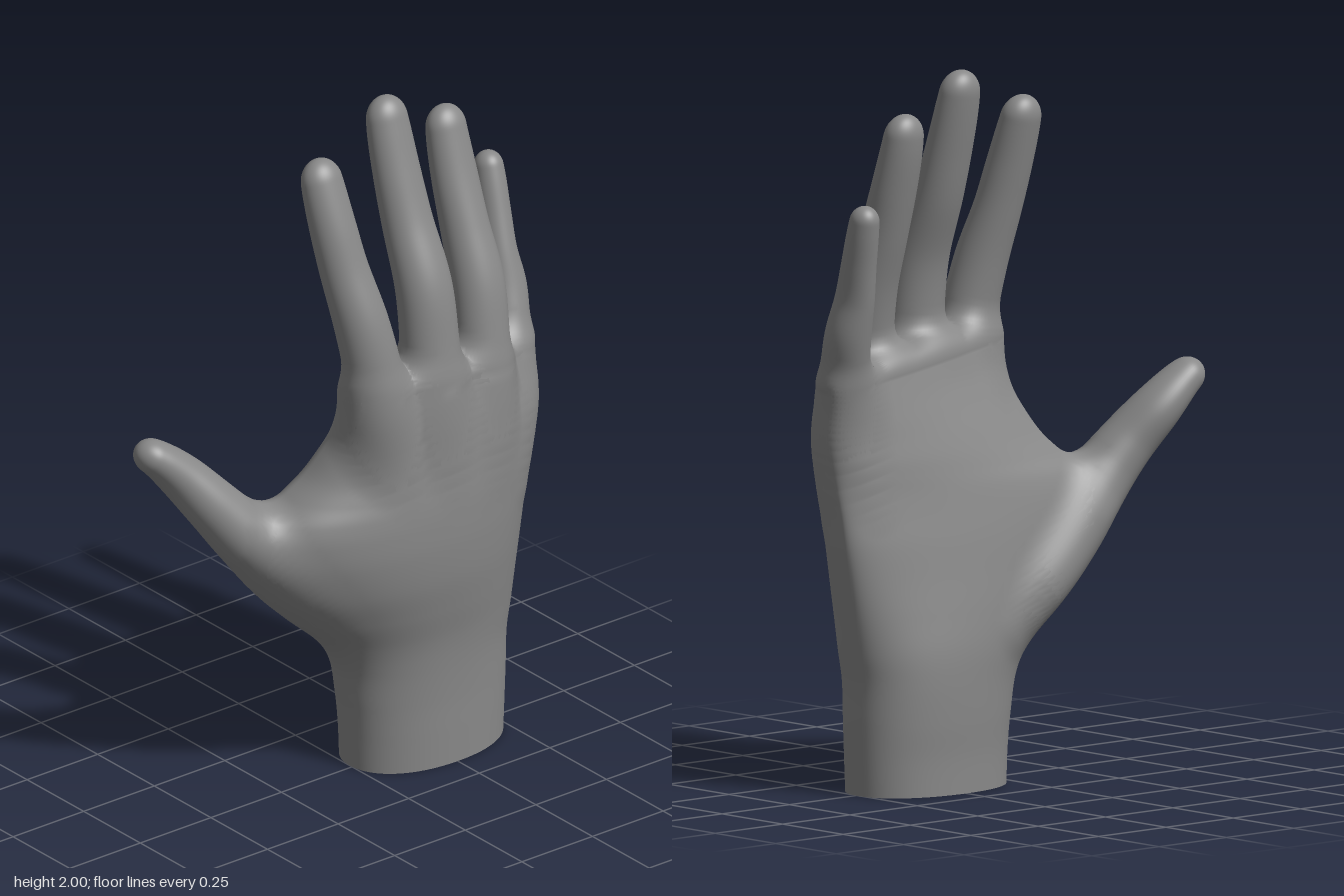
import * as THREE from 'three';

const BLEND = 0.075; // width of the soft join between palm and digits

// Smooth interpolation through rows of numbers, t from 0 to 1
function sampleRows(rows, t) {
  const n = rows.length - 1;
  const i = Math.min(Math.floor(t * n), n - 1);
  const f = t * n - i;
  const at = (k) => rows[Math.max(0, Math.min(n, k))];
  const [a, b, c, d] = [at(i - 1), at(i), at(i + 1), at(i + 2)];
  return b.map((_, k) => b[k] + 0.5 * f * (c[k] - a[k]
    + f * (2 * a[k] - 5 * b[k] + 4 * c[k] - d[k] + f * (3 * (b[k] - c[k]) + d[k] - a[k]))));
}

// Skin a stack of closed rings; point(i, angle) gives each vertex
function loft(steps, sides, point) {
  const positions = [];
  const index = [];
  for (let i = 0; i <= steps; i++) {
    for (let j = 0; j < sides; j++) {
      positions.push(...point(i, (j / sides) * Math.PI * 2));
      if (i === steps) continue;
      const a = i * sides + j;
      const b = i * sides + ((j + 1) % sides);
      index.push(a, a + sides, b, b, a + sides, b + sides);
    }
  }
  const geometry = new THREE.BufferGeometry();
  geometry.setAttribute('position', new THREE.Float32BufferAttribute(positions, 3));
  geometry.setIndex(index);
  geometry.computeVertexNormals();
  return geometry;
}

// Wrist, palm and thumb web: [y, left x, right x, left z, right z, front z, back z]
const PALM = [
  [0.00, 0.00, 0.505, -0.01, -0.01, 0.155, -0.175],
  [0.10, -0.005, 0.51, -0.01, -0.01, 0.155, -0.175],
  [0.20, -0.015, 0.515, -0.01, -0.01, 0.155, -0.18],
  [0.31, -0.035, 0.52, -0.015, -0.015, 0.16, -0.182],
  [0.40, -0.085, 0.535, -0.03, -0.02, 0.17, -0.18],
  [0.50, -0.175, 0.55, -0.05, -0.03, 0.19, -0.17],
  [0.60, -0.26, 0.565, -0.06, -0.035, 0.208, -0.157],
  [0.70, -0.315, 0.58, -0.062, -0.035, 0.217, -0.143],
  [0.78, -0.325, 0.588, -0.058, -0.03, 0.218, -0.129],
  [0.84, -0.295, 0.594, -0.045, -0.023, 0.216, -0.117],
  [0.89, -0.23, 0.597, -0.022, -0.017, 0.212, -0.105],
  [0.94, -0.175, 0.60, 0.00, -0.012, 0.207, -0.093],
  [1.00, -0.135, 0.602, 0.025, -0.007, 0.20, -0.077],
  [1.06, -0.108, 0.60, 0.05, -0.007, 0.19, -0.06],
  [1.12, -0.095, 0.596, 0.07, -0.01, 0.176, -0.042],
  [1.18, -0.09, 0.592, 0.08, -0.012, 0.16, -0.025],
];
const PALM_STEPS = 140;
const DOME_STEPS = 24;
const DOME_HEIGHT = 0.065;
const palmRings = Array.from({ length: PALM_STEPS + 1 }, (_, i) => sampleRows(PALM, i / PALM_STEPS));
const SQUARENESS = 0.92;
const POWER = 2 / SQUARENESS;

// the knuckle line slopes down towards the little finger
const knuckleDrop = (x, y) => 0.12 * THREE.MathUtils.smoothstep(y, 0.8, 1.25) * (x - 0.2);

// Stacked rings, closed by a rounded dome between the fingers
function palmGeometry() {
  return loft(PALM_STEPS + DOME_STEPS, 96, (i, angle) => {
    const [y, xl, xr, zl, zr, zf, zb] = palmRings[Math.min(i, PALM_STEPS)];
    const over = Math.sin((Math.max(0, i - PALM_STEPS) / DOME_STEPS) * Math.PI / 2);
    const shrink = Math.max(0, 1 - over ** POWER) ** (1 / POWER);
    const c = Math.cos(angle);
    const s = Math.sin(angle);
    const u = shrink * Math.sign(c) * Math.abs(c) ** SQUARENESS;
    const x = (xl + xr) / 2 + (u * (xr - xl)) / 2;
    const middle = (zl + zr) / 2;
    const bulge = shrink * Math.abs(s) ** SQUARENESS * (s > 0 ? zf - middle : zb - middle);
    const height = y + DOME_HEIGHT * over;
    return [x, height - knuckleDrop(x, height), middle + ((zr - zl) * u) / 2 + bulge];
  });
}

// Below 1 inside the palm, above 1 outside it
function palmLevel(x, y, z) {
  let flat = y;
  for (let i = 0; i < 4; i++) flat = y + knuckleDrop(x, flat);
  let lo = 0;
  let hi = PALM_STEPS;
  while (hi - lo > 1) {
    const m = (lo + hi) >> 1;
    if (palmRings[m][0] > flat) hi = m; else lo = m;
  }
  const [a, b] = [palmRings[lo], palmRings[hi]];
  const f = THREE.MathUtils.clamp((flat - a[0]) / (b[0] - a[0]), 0, 1);
  const mix = (k) => a[k] + (b[k] - a[k]) * f;
  const [xl, xr, zl, zr] = [mix(1), mix(2), mix(3), mix(4)];
  const u = (2 * x - xl - xr) / (xr - xl);
  const middle = (zl + zr) / 2;
  const rise = z - middle - ((zr - zl) * THREE.MathUtils.clamp(u, -1, 1)) / 2;
  const w = rise / (rise > 0 ? mix(5) - middle : middle - mix(6));
  const over = Math.max(0, flat - palmRings[PALM_STEPS][0]) / DOME_HEIGHT;
  return (Math.abs(u) ** POWER + Math.abs(w) ** POWER + over ** POWER) ** (1 / POWER);
}

// Central-difference gradient of a field
function gradient(field, x, y, z) {
  const e = 0.003;
  return new THREE.Vector3(
    field(x + e, y, z) - field(x - e, y, z),
    field(x, y + e, z) - field(x, y - e, z),
    field(x, y, z + e) - field(x, y, z - e),
  ).divideScalar(2 * e);
}

const palmDistance = (x, y, z) =>
  (palmLevel(x, y, z) - 1) / Math.max(0.5, gradient(palmLevel, x, y, z).length());

// Digits as rows of [x, y, z, half width, half depth]
const DIGITS = {
  indexFinger: [
    [0.07, 0.80, 0.06, 0.05, 0.06],
    [0.025, 1.00, 0.098, 0.078, 0.078],
    [-0.003, 1.15, 0.12, 0.085, 0.076],
    [-0.02, 1.28, 0.116, 0.083, 0.074],
    [-0.046, 1.43, 0.095, 0.078, 0.073],
    [-0.072, 1.58, 0.055, 0.071, 0.064],
    [-0.087, 1.70, 0.025, 0.068, 0.06],
    [-0.096, 1.81, -0.005, 0.064, 0.053],
    [-0.10, 1.90, -0.03, 0.056, 0.045],
  ],
  middleFinger: [
    [0.20, 0.80, 0.07, 0.05, 0.06],
    [0.19, 1.00, 0.11, 0.078, 0.08],
    [0.185, 1.15, 0.125, 0.09, 0.079],
    [0.183, 1.30, 0.114, 0.087, 0.075],
    [0.18, 1.47, 0.09, 0.083, 0.073],
    [0.174, 1.64, 0.028, 0.075, 0.065],
    [0.168, 1.78, -0.012, 0.071, 0.058],
    [0.164, 1.90, -0.042, 0.066, 0.052],
    [0.163, 2.00, -0.064, 0.056, 0.045],
  ],
  ringFinger: [
    [0.33, 0.80, 0.06, 0.05, 0.06],
    [0.36, 1.00, 0.094, 0.075, 0.078],
    [0.375, 1.13, 0.106, 0.083, 0.076],
    [0.385, 1.27, 0.09, 0.081, 0.073],
    [0.391, 1.41, 0.063, 0.079, 0.072],
    [0.387, 1.56, 0.014, 0.071, 0.065],
    [0.385, 1.69, -0.026, 0.069, 0.058],
    [0.383, 1.80, -0.055, 0.064, 0.052],
    [0.382, 1.90, -0.075, 0.056, 0.043],
  ],
  littleFinger: [
    [0.47, 0.78, 0.035, 0.05, 0.06],
    [0.525, 0.98, 0.03, 0.066, 0.072],
    [0.54, 1.10, 0.012, 0.068, 0.072],
    [0.553, 1.20, -0.01, 0.066, 0.07],
    [0.567, 1.30, -0.039, 0.064, 0.066],
    [0.567, 1.40, -0.066, 0.052, 0.06],
    [0.575, 1.50, -0.092, 0.047, 0.052],
    [0.582, 1.59, -0.116, 0.044, 0.046],
    [0.587, 1.67, -0.137, 0.038, 0.038],
  ],
  thumb: [
    [0.05, 0.44, -0.06, 0.05, 0.07],
    [-0.08, 0.55, -0.06, 0.085, 0.118],
    [-0.21, 0.665, -0.052, 0.09, 0.118],
    [-0.325, 0.785, -0.055, 0.09, 0.098],
    [-0.42, 0.902, -0.088, 0.078, 0.082],
    [-0.495, 0.998, -0.132, 0.066, 0.076],
    [-0.565, 1.068, -0.152, 0.053, 0.062],
    [-0.628, 1.112, -0.163, 0.042, 0.045],
  ],
};
const DIGIT_STEPS = 72;

// Oriented elliptical rings along a digit, shrinking to a round tip
function digitRings(rows) {
  const end = new THREE.Vector3(...rows[rows.length - 1]);
  return Array.from({ length: DIGIT_STEPS + 1 }, (_, i) => {
    const t = 1 - (1 - i / DIGIT_STEPS) ** 1.6;
    const [x, y, z, rx, rz] = sampleRows(rows, t);
    const centre = new THREE.Vector3(x, y, z);
    const along = new THREE.Vector3(...sampleRows(rows, Math.min(1, t + 0.02)))
      .sub(new THREE.Vector3(...sampleRows(rows, Math.max(0, t - 0.02)))).normalize();
    const side = new THREE.Vector3().crossVectors(along, new THREE.Vector3(0, 0, 1)).normalize();
    const front = new THREE.Vector3().crossVectors(side, along);
    const q = Math.min(1, centre.distanceTo(end) / rx);
    const round = Math.max(0.002, Math.sqrt(1 - (1 - q) ** 2));
    return { centre, along, side, front, rx: rx * round, rz: rz * round };
  });
}

const digitGeometry = (rings) => loft(DIGIT_STEPS, 48, (i, angle) => {
  const { centre, side, front, rx, rz } = rings[i];
  return centre.clone()
    .addScaledVector(side, Math.cos(angle) * rx)
    .addScaledVector(front, Math.sin(angle) * rz)
    .toArray();
});

function digitDistance(rings, x, y, z) {
  let best = Infinity;
  for (const { centre, along, side, front, rx, rz } of rings) {
    const [dx, dy, dz] = [x - centre.x, y - centre.y, z - centre.z];
    const a = (dx * along.x + dy * along.y + dz * along.z) / rx;
    const s = (dx * side.x + dy * side.y + dz * side.z) / rx;
    const f = (dx * front.x + dy * front.y + dz * front.z) / rz;
    best = Math.min(best, (Math.sqrt(a * a + s * s + f * f) - 1) * Math.min(rx, rz));
  }
  return best;
}

// Ease the vertices near a join onto one soft surface shared by palm and digits
function blendJoins(geometry, digits) {
  const digitsDistance = (x, y, z) => Math.min(...digits.map((d) => digitDistance(d, x, y, z)));
  const soft = (a, b) => Math.min(a, b) - (Math.max(0, BLEND - Math.abs(a - b)) ** 2) / (4 * BLEND);
  const skinDistance = (x, y, z) => soft(palmDistance(x, y, z), digitsDistance(x, y, z));
  const { position, normal } = geometry.attributes;
  const p = new THREE.Vector3();
  for (let i = 0; i < position.count; i++) {
    p.fromBufferAttribute(position, i);
    const a = palmDistance(p.x, p.y, p.z);
    const b = digitsDistance(p.x, p.y, p.z);
    if (Math.abs(a - b) > BLEND || soft(a, b) < -0.55 * BLEND) continue;
    let slope;
    for (let k = 0; k < 4; k++) {
      slope = gradient(skinDistance, p.x, p.y, p.z);
      const step = skinDistance(p.x, p.y, p.z) / Math.max(0.5, slope.length());
      p.addScaledVector(slope.normalize(), -THREE.MathUtils.clamp(step, -0.02, 0.02));
    }
    position.setXYZ(i, p.x, p.y, p.z);
    normal.setXYZ(i, slope.x, slope.y, slope.z);
  }
  return geometry;
}

export function createModel() {
  const skin = new THREE.MeshStandardMaterial({ color: 0x888888, side: THREE.DoubleSide });
  skin.name = 'grey skin';
  const hand = new THREE.Group();
  hand.name = 'hand';
  const rings = Object.values(DIGITS).map(digitRings);
  const add = (name, geometry) => {
    const mesh = new THREE.Mesh(blendJoins(geometry, rings), skin);
    mesh.name = name;
    hand.add(mesh);
  };
  add('wristAndPalm', palmGeometry());
  Object.keys(DIGITS).forEach((name, i) => add(name, digitGeometry(rings[i])));
  return hand;
}
